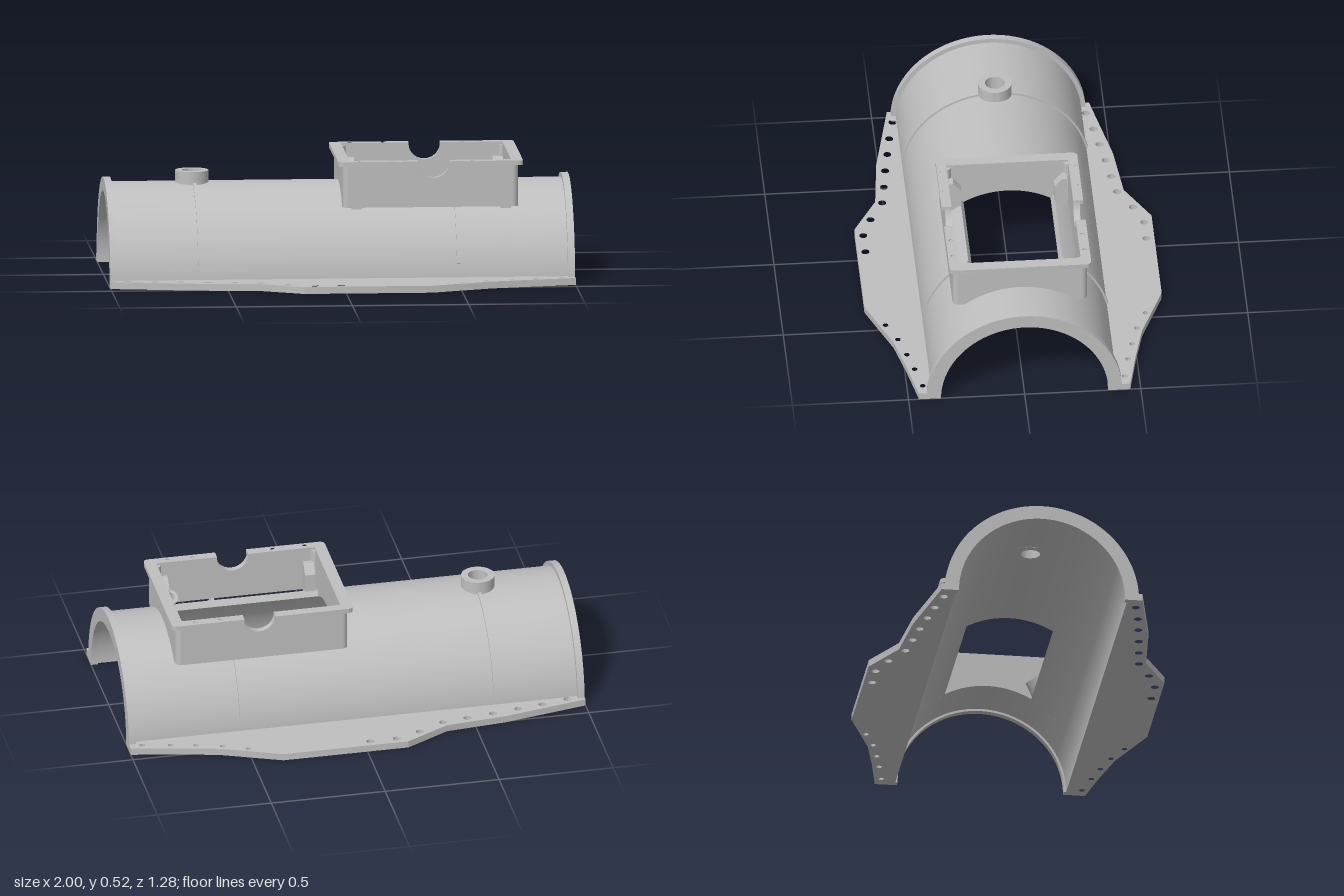
import * as THREE from 'three';
import { toCreasedNormals } from 'three/addons/utils/BufferGeometryUtils.js';

const castMetal = new THREE.MeshStandardMaterial({ color: 0xbfbfbf });
castMetal.name = 'castMetal';

export function createModel() {
  const model = new THREE.Group();
  const add = (name, geometry) => {
    const mesh = new THREE.Mesh(geometry, castMetal);
    mesh.name = name;
    model.add(mesh);
    return mesh;
  };
  const shapeOf = (pts) => new THREE.Shape(pts.map(([a, b]) => new THREE.Vector2(a, b)));
  const circle = (x, y, r) => new THREE.Path().absarc(x, y, r, 0, Math.PI * 2, true);
  const extrude = (shape, depth, segments = 24) =>
    toCreasedNormals(new THREE.ExtrudeGeometry(shape, { depth, bevelEnabled: false, curveSegments: segments }), 0.5);
  // Plan outline (x, z) raised from y0 to y1
  const plate = (shape, y0, y1) => extrude(shape, y1 - y0).rotateX(Math.PI / 2).translate(0, y1, 0);
  // End outline (-z, y) drawn out from x0 to x1
  const along = (shape, x0, x1, seg) => extrude(shape, x1 - x0, seg).rotateY(Math.PI / 2).translate(x0, 0, 0);
  const arcBand = (x0, x1, r0, r1, a0 = 0, a1 = Math.PI) => {
    const s = new THREE.Shape();
    s.absarc(0, 0, r1, a0, a1, false);
    s.absarc(0, 0, r0, a1, a0, true);
    return along(s, x0, x1, 48);
  };
  const sideArcs = (name, x0, x1, r0, r1, a0, a1) => {
    add(name, arcBand(x0, x1, r0, r1, a0, a1));
    add(name, arcBand(x0, x1, r0, r1, Math.PI - a1, Math.PI - a0));
  };

  // Half-round shell, in lengths that leave room for the port and the box opening
  const RI = 0.37, RO = 0.4, portX = -0.62, tileAngle = 0.18, openAngle = 0.53;
  for (const [x0, x1] of [[-0.98, -0.69], [-0.55, 0.04], [0.735, 0.98]]) add('shell', arcBand(x0, x1, RI, RO));
  sideArcs('shellBesidePort', -0.69, -0.55, RI, RO, 0, Math.PI / 2 - tileAngle);
  sideArcs('shellBesideOpening', 0.04, 0.735, RI, RO, 0, Math.PI / 2 - openAngle);

  // Curved tile with a round hole below the port
  const holedTile = (r, inward) => {
    const pos = [], index = [], n = 32;
    for (let i = 0; i <= n; i++) {
      const t = (i / n) * Math.PI * 2, c = Math.cos(t), s = Math.sin(t);
      const m = Math.max(Math.abs(c), Math.abs(s));
      for (const [dx, a] of [[0.05 * c, 0.125 * s], [0.07 * c / m, tileAngle * s / m]]) {
        pos.push(portX + dx, r * Math.cos(a), r * Math.sin(a));
      }
      if (i < n) {
        const p = 2 * i;
        if (inward) index.push(p, p + 1, p + 2, p + 1, p + 3, p + 2);
        else index.push(p, p + 2, p + 1, p + 1, p + 2, p + 3);
      }
    }
    const g = new THREE.BufferGeometry();
    g.setAttribute('position', new THREE.Float32BufferAttribute(pos, 3));
    g.setIndex(index);
    g.computeVertexNormals();
    return g;
  };
  add('shellTileOuter', holedTile(RO, false));
  add('shellTileInner', holedTile(RI, true));

  // Filler port
  const ring = (x, z, r, hole) => {
    const s = new THREE.Shape().absarc(x, z, r, 0, Math.PI * 2, false);
    s.holes.push(circle(x, z, hole));
    return s;
  };
  add('fillerPort', plate(ring(portX, 0, 0.072, 0.042), 0.368, 0.45));

  // End flanges and raised ribs
  for (const x of [-1, 0.97]) add('endFlange', arcBand(x, x + 0.03, 0.36, 0.42));
  sideArcs('portRib', -0.62, -0.605, 0.39, 0.409, 0.22, Math.PI / 2 - 0.17);
  sideArcs('boxRib', 0.493, 0.508, 0.39, 0.409, 0.22, Math.PI / 2 - openAngle);

  // Side flanges with bolt holes
  const edge = [[-1, 0.435], [-0.63, 0.51], [-0.37, 0.535], [-0.18, 0.64], [0.37, 0.64], [0.63, 0.535], [0.8, 0.495], [1, 0.455]];
  const bigHoles = [[-0.925, 0.416], [-0.81, 0.44], [-0.7, 0.457], [-0.585, 0.475], [-0.47, 0.49],
    [-0.36, 0.506], [-0.245, 0.565], [-0.135, 0.605], [-0.02, 0.605]];
  const smallHoles = [[0.505, 0.56], [0.61, 0.515], [0.72, 0.485], [0.825, 0.46], [0.945, 0.435]];
  for (const side of [-1, 1]) {
    const s = shapeOf([[1, 0.38], [-1, 0.38], ...edge].map(([x, z]) => [x, z * side]));
    for (const [x, z] of bigHoles) s.holes.push(circle(x, z * side, 0.017));
    for (const [x, z] of smallHoles) s.holes.push(circle(x, z * side, 0.012));
    add('sideFlange', plate(s, 0, 0.03));
  }

  // Box: long walls with a round notch
  const notchX = 0.4, notchR = 0.068;
  for (const z of [-0.29, 0.262]) {
    const s = new THREE.Shape();
    s.moveTo(0.035, 0.32);
    s.lineTo(0.74, 0.32);
    s.lineTo(0.74, 0.515);
    s.lineTo(notchX + notchR, 0.515);
    s.absarc(notchX, 0.515, notchR, 0, Math.PI, true);
    s.lineTo(0.035, 0.515);
    add('boxLongWall', extrude(s, 0.028).translate(0, 0, z));
  }
  // Box: end walls resting on the shell, and rounded corners
  const restAngle = Math.asin(0.32 / 0.385);
  for (const x of [0.01, 0.735]) {
    const s = new THREE.Shape();
    s.moveTo(0.265, 0.32);
    s.lineTo(0.265, 0.515);
    s.lineTo(-0.265, 0.515);
    s.lineTo(-0.265, 0.32);
    s.absarc(0, 0, 0.385, Math.PI - restAngle, restAngle, true);
    add('boxEndWall', along(s, x, x + 0.03));
    for (const z of [-0.265, 0.265]) {
      add('boxCorner', new THREE.CylinderGeometry(0.025, 0.025, 0.19, 20).translate(x < 0.1 ? 0.035 : 0.74, 0.415, z));
    }
  }

  // Box rim in two halves, with screw holes
  const rimHalf = (outer, inner, cut, holes) => {
    const d = Math.sign(cut - outer) * 0.025, s = new THREE.Shape();
    s.moveTo(cut, -0.305);
    s.lineTo(outer + d, -0.305);
    s.quadraticCurveTo(outer, -0.305, outer, -0.28);
    s.lineTo(outer, 0.28);
    s.quadraticCurveTo(outer, 0.305, outer + d, 0.305);
    for (const [x, z] of [[cut, 0.305], [cut, 0.262], [inner, 0.262], [inner, -0.262], [cut, -0.262]]) s.lineTo(x, z);
    for (const x of holes) for (const z of [-0.284, 0.284]) s.holes.push(circle(x, z, 0.009));
    add('boxRim', plate(s, 0.5, 0.52));
  };
  rimHalf(-0.01, 0.04, notchX - notchR, [0.08, 0.22]);
  rimHalf(0.785, 0.735, notchX + notchR, [0.57, 0.68]);

  // Gusset posts inside the box corners
  for (const x of [0.05, 0.69]) for (const side of [-1, 1]) {
    const s = shapeOf([[0.255, 0.305], [0.255, 0.46], [0.235, 0.46], [0.2, 0.42], [0.2, 0.33]].map(([z, y]) => [z * side, y]));
    add('gussetPost', along(s, x, x + 0.045));
  }

  // Short tilted tube by one post
  const tube = add('drainTube', plate(ring(0, 0, 0.038, 0.022), -0.03, 0.03));
  tube.position.set(0.697, 0.365, 0.205);
  tube.rotation.set(-0.5, 0, 0.2);

  return model;
}
